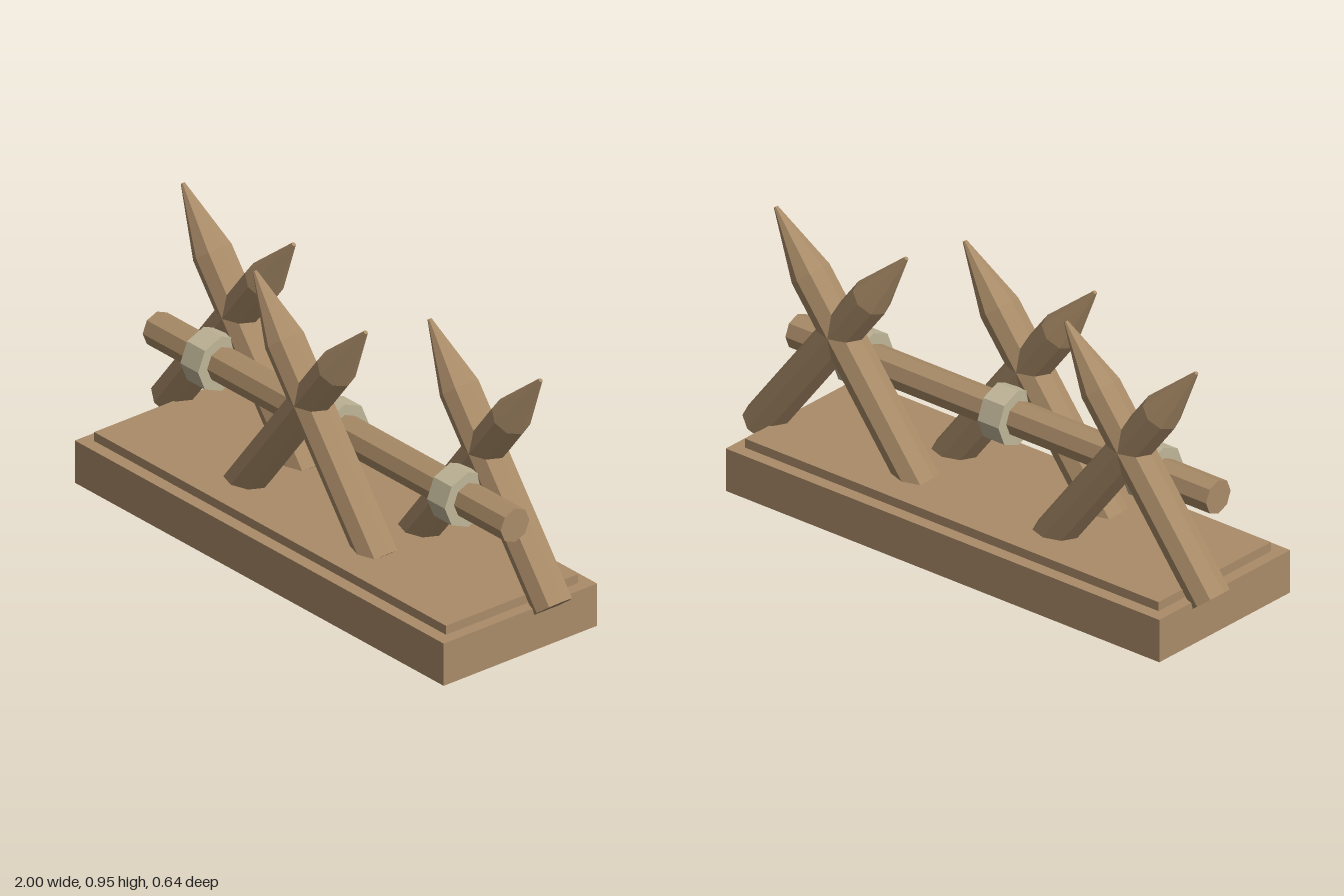
import * as THREE from 'three';

export function createModel() {
  const group = new THREE.Group();
  const wood = new THREE.MeshStandardMaterial({ color: 0xaa8c68, flatShading: true });
  wood.name = 'wood';
  const binding = new THREE.MeshStandardMaterial({ color: 0xbfb598, flatShading: true });
  binding.name = 'pale binding';

  const add = (name, geometry, material, x, y, z, parent = group) => {
    const mesh = new THREE.Mesh(geometry, material);
    mesh.name = name;
    mesh.position.set(x, y, z);
    parent.add(mesh);
    return mesh;
  };

  // Stepped base
  add('base', new THREE.BoxGeometry(1.824, 0.152, 0.64), wood, 0, 0.076, 0);
  add('baseTop', new THREE.BoxGeometry(1.74, 0.033, 0.55), wood, 0, 0.1675, 0);

  // Crossed pairs of sharpened eight-sided stakes
  const profile = [[0, 0], [0.068, 0], [0.068, 0.76], [0.007, 1], [0, 1]]
    .map(([r, y]) => new THREE.Vector2(r, y));
  const stake = new THREE.LatheGeometry(profile, 8);
  const tilt = 0.657;
  for (const [x, z] of [[-0.61, -0.107], [0, 0.107], [0.61, -0.107]]) {
    const pair = new THREE.Group();
    pair.name = 'crossedStakes';
    pair.position.set(x, 0, z);
    group.add(pair);
    for (const side of [-1, 1]) {
      add(side > 0 ? 'leftFootStake' : 'rightFootStake', stake, wood, side * 0.336, 0.154, 0, pair)
        .rotation.z = side * tilt;
    }
  }

  // Rail running between the pairs, with a binding at each crossing
  add('rail', new THREE.CylinderGeometry(0.06, 0.06, 1.77, 8), wood, 0, 0.459, 0).rotation.z = Math.PI / 2;
  const band = new THREE.CylinderGeometry(0.098, 0.098, 0.088, 8);
  for (const x of [-0.61, 0, 0.61]) {
    add('binding', band, binding, x, 0.459, 0).rotation.z = Math.PI / 2;
  }
  return group;
}
